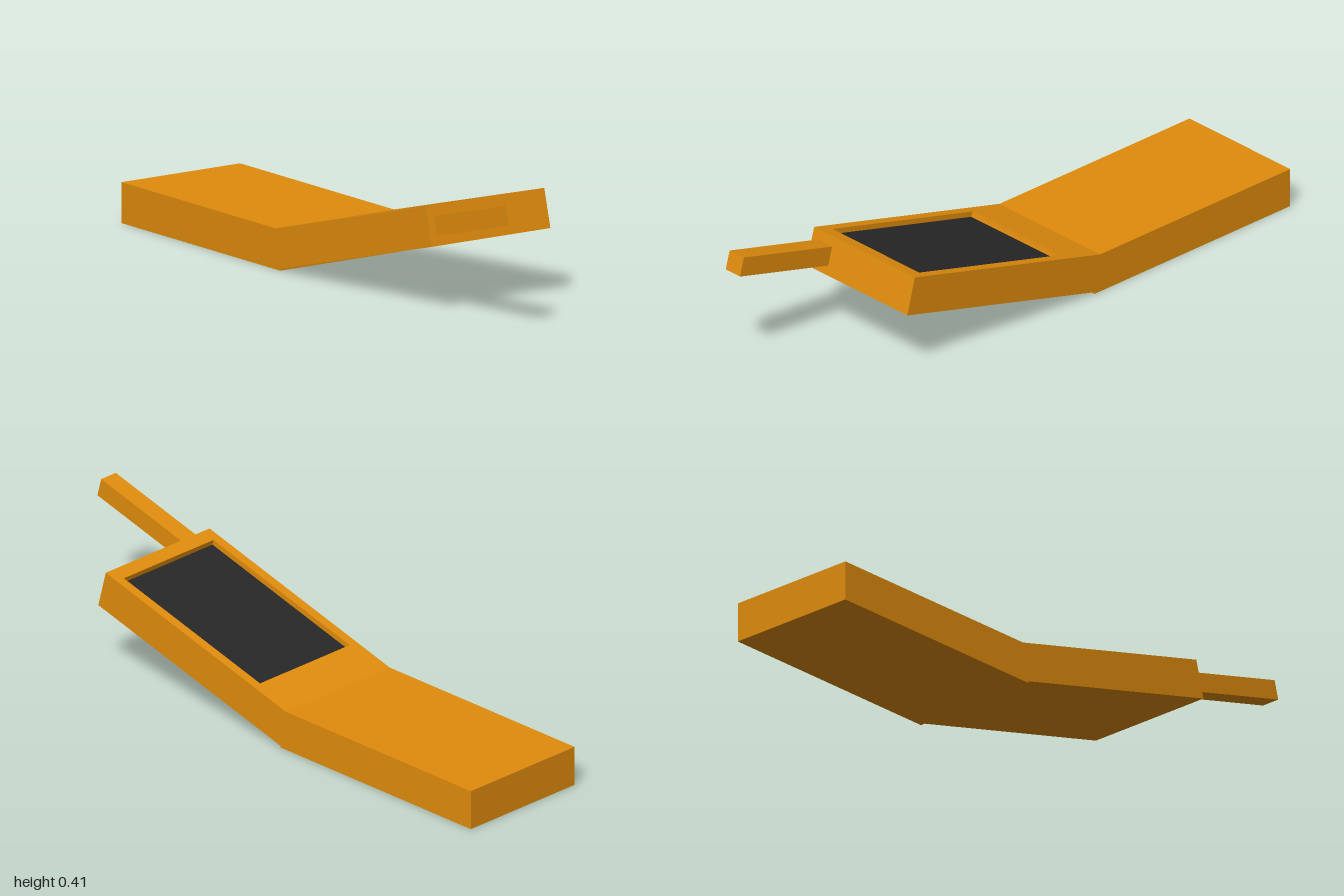
import * as THREE from 'three';

const W = 0.454;      // body width
const T = 0.126;      // lid thickness
const LEN = 0.818;    // lid length from the hinge
const DEPTH = 0.02;   // screen recess

export function createModel() {
  const orange = new THREE.MeshStandardMaterial({ color: 0xe08c0c });
  orange.name = 'orange body';
  const dark = new THREE.MeshStandardMaterial({ color: 0x272727 });
  dark.name = 'dark screen';

  const model = new THREE.Group();
  model.name = 'flipPhone';

  // Box given by its minimum and maximum corners
  const box = (name, material, parent, [x0, y0, z0], [x1, y1, z1]) => {
    const mesh = new THREE.Mesh(new THREE.BoxGeometry(x1 - x0, y1 - y0, z1 - z0), material);
    mesh.position.set((x0 + x1) / 2, (y0 + y1) / 2, (z0 + z1) / 2);
    mesh.name = name;
    parent.add(mesh);
  };

  // Lower half lies flat
  box('base', orange, model, [-W / 2, 0, -1], [W / 2, 0.13, -0.165]);

  // Upper half tilts up from the hinge line; local y = 0 is its face
  const lid = new THREE.Group();
  lid.name = 'lid';
  lid.position.set(0, 0.13, -0.19);
  lid.rotation.x = -THREE.MathUtils.degToRad(15);
  model.add(lid);

  box('lidBack', orange, lid, [-W / 2, -T, -0.01], [W / 2, -DEPTH, LEN]);

  // Raised frame around the screen
  const rect = (target, x, s0, s1) => target
    .moveTo(-x, -s1).lineTo(x, -s1).lineTo(x, -s0).lineTo(-x, -s0).closePath();
  const outline = rect(new THREE.Shape(), W / 2, -0.01, LEN);
  outline.holes.push(rect(new THREE.Path(), 0.196, 0.15, 0.768));
  const frameGeometry = new THREE.ExtrudeGeometry(outline, { depth: DEPTH, bevelEnabled: false });
  frameGeometry.rotateX(-Math.PI / 2).translate(0, -DEPTH, 0);
  const frame = new THREE.Mesh(frameGeometry, orange);
  frame.name = 'screenFrame';
  lid.add(frame);

  // Screen at the bottom of the recess
  box('screen', dark, lid, [-0.195, -DEPTH - 0.004, 0.151], [0.195, -DEPTH + 0.003, 0.767]);

  // Antenna on the right side of the far end
  box('antenna', orange, lid, [-0.201, -0.095, LEN - 0.02], [-0.137, -0.032, LEN + 0.39]);

  return model;
}
